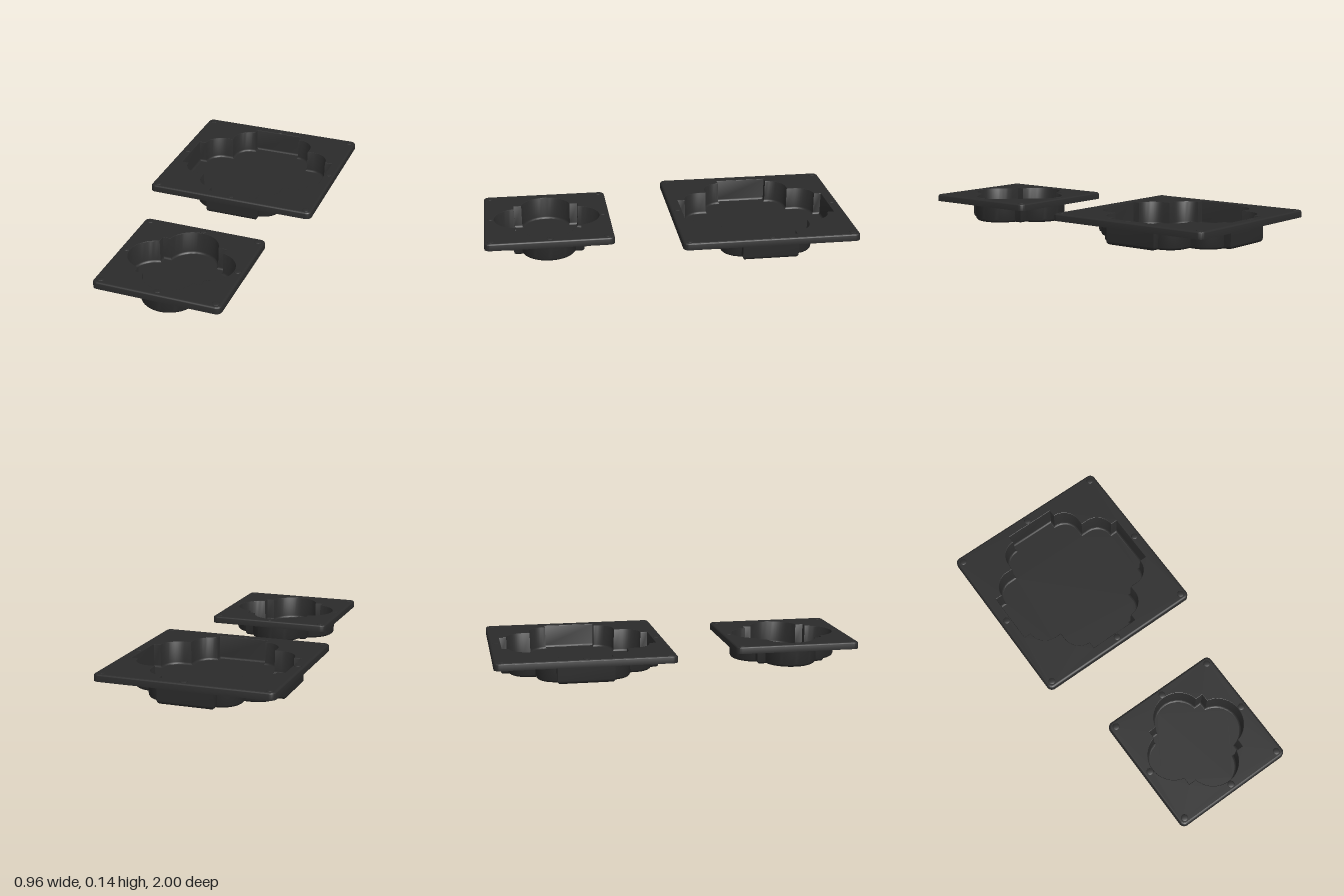
import * as THREE from 'three';
import { toCreasedNormals } from 'three/addons/utils/BufferGeometryUtils.js';

const V = (x, y) => new THREE.Vector2(x, y);

function arc(cx, cy, r, a0, a1, n = 12) {
  return Array.from({ length: n + 1 }, (_, i) => {
    const a = a0 + (a1 - a0) * i / n;
    return V(cx + r * Math.cos(a), cy + r * Math.sin(a));
  });
}

// Repeat a quarter outline four times around the centre (counterclockwise)
function fourfold(quarter) {
  const out = [];
  for (let k = 0; k < 4; k++)
    for (const p of quarter) out.push(p.clone().rotateAround(V(0, 0), k * Math.PI / 2));
  return out;
}

// Move an outline outward by d, with mitred corners
function offset(pts, d) {
  const n = pts.length;
  return pts.map((p, i) => {
    const a = p.clone().sub(pts[(i + n - 1) % n]).normalize();
    const b = pts[(i + 1) % n].clone().sub(p).normalize();
    const n1 = V(a.y, -a.x), n2 = V(b.y, -b.x);
    return n1.clone().add(n2).multiplyScalar(d / (1 + n1.dot(n2))).add(p);
  });
}

// Skin an outline along a profile of [offset, height] steps
function loft(outline, profile) {
  const n = outline.length, pos = [], idx = [];
  for (const [d, y] of profile)
    for (const p of offset(outline, d)) pos.push(p.x, y, -p.y);
  for (let j = 0; j < profile.length - 1; j++)
    for (let i = 0; i < n; i++) {
      const a = j * n + i, b = j * n + (i + 1) % n;
      idx.push(a, b, b + n, a, b + n, a + n);
    }
  const g = new THREE.BufferGeometry();
  g.setAttribute('position', new THREE.Float32BufferAttribute(pos, 3));
  g.setIndex(idx);
  return toCreasedNormals(g, 0.6);
}

// Flat horizontal sheet, optionally with a hole
function sheet(outline, y, up, hole) {
  const s = new THREE.Shape(outline);
  if (hole) s.holes.push(new THREE.Path(hole));
  return new THREE.ShapeGeometry(s).rotateX(up ? -Math.PI / 2 : Math.PI / 2).translate(0, y, 0);
}

// Rounded profile corner around (d, y)
const fillet = (d, y, r, a0, a1) => arc(d, y, r, a0, a1, 5).map(p => [p.x, p.y]);

const TOP = 0.138, UNDER = 0.127, SKIRT = 0.1, WALL = 0.01, H = Math.PI / 2;

function mould(name, cavity, half, material) {
  const group = new THREE.Group();
  group.name = name;
  const add = (part, geometry) => {
    const m = new THREE.Mesh(geometry, material);
    m.name = part;
    group.add(m);
    return m;
  };
  const c = half - 0.03;
  const square = fourfold(arc(c, c, 0.03, 0, H, 8));

  // Flange: top and underside sheets joined by a rolled skirt
  add('flangeTop', sheet(offset(square, -0.012), TOP, true, offset(cavity, 0.003)));
  add('flangeUnderside', sheet(offset(square, -WALL), UNDER, false, offset(cavity, WALL)));
  add('flangeSkirt', loft(square, [
    [-WALL, UNDER], [-WALL, SKIRT], [0, SKIRT],
    ...fillet(-0.012, TOP - 0.012, 0.012, 0, H),
  ]));

  // Basin: outer shell with a rounded base, inner wall and floor
  const base = 0.02;
  add('basinOuterWall', loft(cavity, [
    ...fillet(WALL - base, base, base, -H, 0), [WALL, UNDER],
  ]));
  add('basinBase', sheet(offset(cavity, WALL - base), 0, false));
  add('basinInnerWall', loft(cavity, [
    [0.003, TOP], [0.001, TOP - 0.001], [0, TOP - 0.003], [-0.002, 0.022],
    [-0.004, 0.015], [-0.008, 0.011], [-0.012, 0.01],
  ]));
  add('basinFloor', sheet(offset(cavity, -0.012), 0.01, true));

  // Small raised pips at the corners and edge middles
  const e = half - 0.036;
  for (const i of [-1, 0, 1])
    for (const j of [-1, 0, 1]) {
      if (!i && !j) continue;
      const pip = add('pip', new THREE.SphereGeometry(0.019, 16, 6, 0, Math.PI * 2, 0, H));
      pip.scale.y = 0.2;
      pip.position.set(i * e, TOP, j * e);
    }
  return group;
}

export function createModel() {
  const model = new THREE.Group();
  model.name = 'mouldPair';
  const black = new THREE.MeshStandardMaterial({ color: 0x2b2b2b });
  black.name = 'matteBlack';

  // Large cavity: flat-ended cross with paired lobes at the diagonals
  const large = fourfold([
    V(0.42, 0.142),
    ...arc(0.28, 0.142, 0.1, 0, H), V(0.242, 0.242),
    ...arc(0.142, 0.28, 0.1, 0, H), V(0.142, 0.42),
  ]);
  // Small cavity: four round lobes with square notches
  const a = Math.acos(0.03 / 0.14);
  const small = fourfold([...arc(0.15, 0, 0.14, -a, a, 24), V(0.18, 0.18)]);

  const big = mould('largeMould', large, 0.48, black);
  big.position.z = -0.52;
  const little = mould('smallMould', small, 0.346, black);
  little.position.z = 0.654;
  model.add(big, little);
  return model;
}
